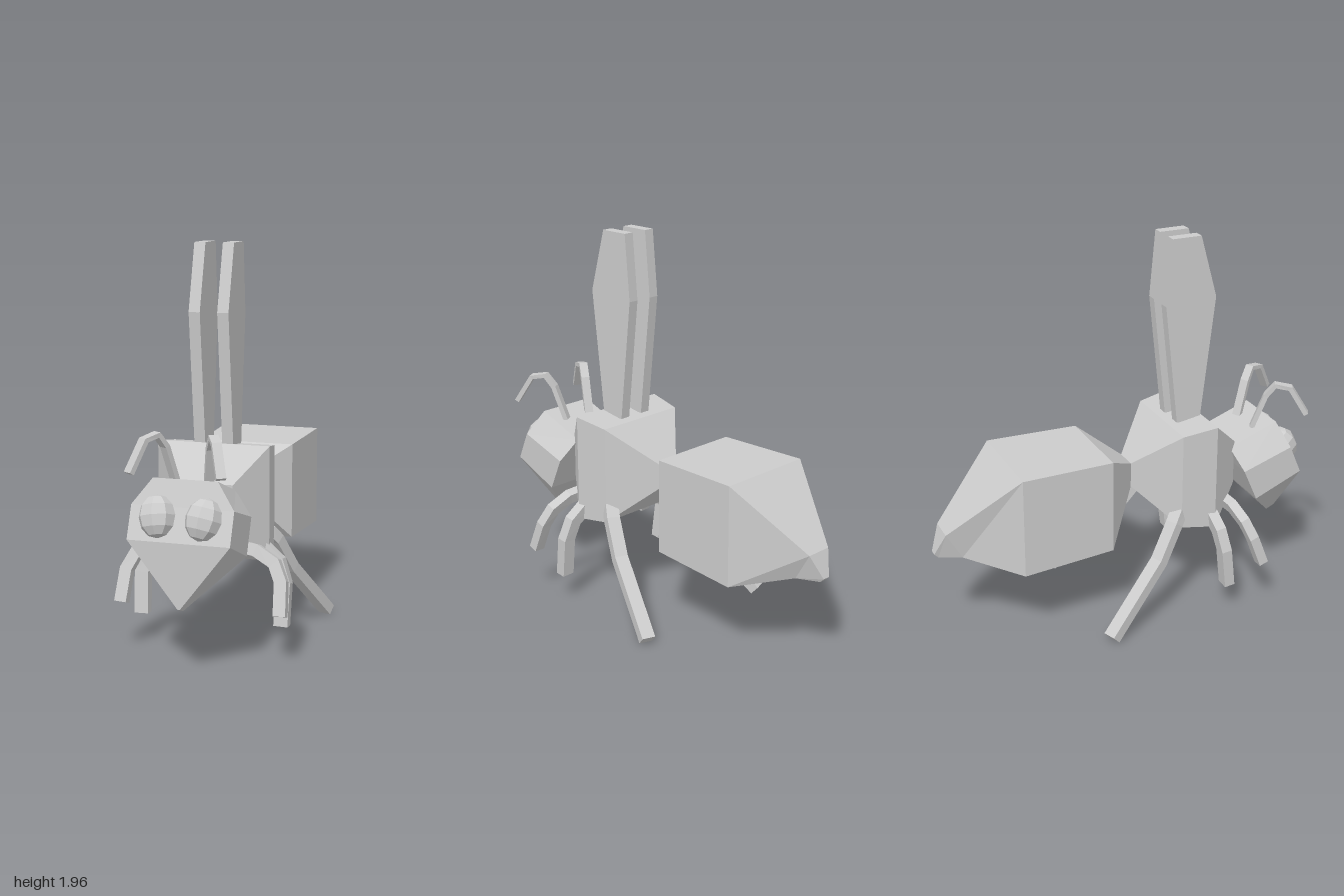
import * as THREE from 'three';

const material = new THREE.MeshStandardMaterial({ color: 0xcccccc, flatShading: true });
const V = (x, y, z) => new THREE.Vector3(x, y, z);

// Skin a closed solid over a row of four-cornered rings.
function loft(name, rings) {
  const tris = [];
  const quad = (a, b, c, d) => tris.push([a, b, c], [a, c, d]);
  for (let i = 0; i < rings.length - 1; i++) {
    for (let j = 0; j < 4; j++) {
      const k = (j + 1) % 4;
      quad(rings[i][j], rings[i][k], rings[i + 1][k], rings[i + 1][j]);
    }
  }
  const last = rings[rings.length - 1];
  quad(rings[0][3], rings[0][2], rings[0][1], rings[0][0]);
  quad(...last);
  // Turn the faces outward whichever way the rings run
  const origin = rings[0][0];
  let volume = 0;
  for (const t of tris) {
    const [a, b, c] = t.map((p) => p.clone().sub(origin));
    volume += a.dot(b.cross(c));
  }
  if (volume < 0) tris.forEach((t) => t.reverse());
  const geometry = new THREE.BufferGeometry().setFromPoints(tris.flat());
  geometry.computeVertexNormals();
  const mesh = new THREE.Mesh(geometry, material);
  mesh.name = name;
  return mesh;
}

// Symmetric body ring: two (z, y) edges and a half width.
const ring = (z1, y1, z2, y2, w) => [V(w, y1, z1), V(-w, y1, z1), V(-w, y2, z2), V(w, y2, z2)];

// Rectangular bar along a path; 'axis' sets the direction of its width.
function bar(name, path, axis, width, thick) {
  const pts = path.map((p) => V(...p));
  const rings = pts.map((p, i) => {
    const before = pts[Math.max(i - 1, 0)], after = pts[Math.min(i + 1, pts.length - 1)];
    const t = after.clone().sub(before).normalize();
    const a = V(...axis).addScaledVector(t, -t.dot(V(...axis))).normalize();
    const n = t.clone().cross(a);
    return [[1, 1], [-1, 1], [-1, -1], [1, -1]].map(([u, v]) =>
      p.clone().addScaledVector(a, u * width / 2).addScaledVector(n, v * thick / 2));
  });
  return loft(name, rings);
}

export function createModel() {
  const model = new THREE.Group();
  model.name = 'insect';

  model.add(loft('thorax', [
    ring(0.6, 0.87, 0.6, 0.63, 0.15),
    ring(0.43, 1.03, 0.43, 0.47, 0.28),
    ring(0.25, 1.0, 0.25, 0.49, 0.255),
    ring(0.05, 0.81, 0.05, 0.68, 0.06),
  ]));

  model.add(loft('abdomen', [
    ring(0.05, 0.81, 0.05, 0.68, 0.06),
    ring(-0.13, 0.93, -0.13, 0.44, 0.245),
    ring(-0.61, 0.93, -0.61, 0.41, 0.26),
    ring(-0.95, 0.62, -0.87, 0.48, 0.07),
    ring(-1.0, 0.5, -0.98, 0.48, 0.02),
  ]));

  // Tilted head narrowing to a pointed chin
  model.add(loft('head', [
    ring(0.84, 0.94, 0.57, 0.84, 0.155),
    ring(0.885, 0.82, 0.615, 0.73, 0.245),
    ring(0.95, 0.67, 0.69, 0.56, 0.245),
    ring(0.945, 0.36, 0.9, 0.34, 0.006),
  ]));

  // Wing outline in (-z, y), extruded across x
  const outline = [[0.42, 1.01], [0.29, 1.01], [0.22, 1.64], [0.25, 1.98], [0.405, 1.98], [0.495, 1.66]];
  const wingShape = new THREE.Shape(outline.map(([z, y]) => new THREE.Vector2(-z, y)));

  for (const s of [1, -1]) {
    const side = s > 0 ? 'left' : 'right';
    const mirror = (path) => path.map(([x, y, z]) => [x * s, y, z]);

    const wing = new THREE.Mesh(new THREE.ExtrudeGeometry(wingShape, { depth: 0.055, bevelEnabled: false }), material);
    wing.name = side + 'Wing';
    wing.rotation.y = Math.PI / 2;
    wing.position.x = s * 0.07 - 0.0275;
    model.add(wing);

    const eye = new THREE.Mesh(new THREE.SphereGeometry(1, 8, 6), material);
    eye.name = side + 'Eye';
    eye.scale.set(0.087, 0.1, 0.075);
    eye.rotation.set(-0.38, 0, -s * 0.15);
    eye.position.set(s * 0.11, 0.78, 0.915);
    model.add(eye);

    model.add(bar(side + 'Antenna', mirror([
      [0.08, 0.9, 0.74], [0.11, 1.08, 0.8], [0.135, 1.14, 0.84], [0.17, 1.125, 0.91], [0.215, 0.985, 0.985],
    ]), [0.85 * s, 0, -0.5], 0.045, 0.025));

    model.add(bar(side + 'FrontLeg', mirror([
      [0.16, 0.56, 0.53], [0.25, 0.55, 0.545], [0.345, 0.5, 0.565], [0.385, 0.42, 0.595], [0.395, 0.27, 0.65],
    ]), [0, 0.3, 1], 0.05, 0.06));

    model.add(bar(side + 'MiddleLeg', mirror([
      [0.16, 0.54, 0.415], [0.25, 0.53, 0.42], [0.325, 0.47, 0.43], [0.36, 0.37, 0.445], [0.355, 0.165, 0.47],
    ]), [0, 0.1, 1], 0.055, 0.07));

    model.add(bar(side + 'HindLeg', mirror([
      [0.22, 0.57, 0.25], [0.25, 0.52, 0.21], [0.3, 0.35, 0.1], [0.415, 0.04, -0.215],
    ]), [1, 0, 0.35 * s], 0.07, 0.055));
  }
  return model;
}
